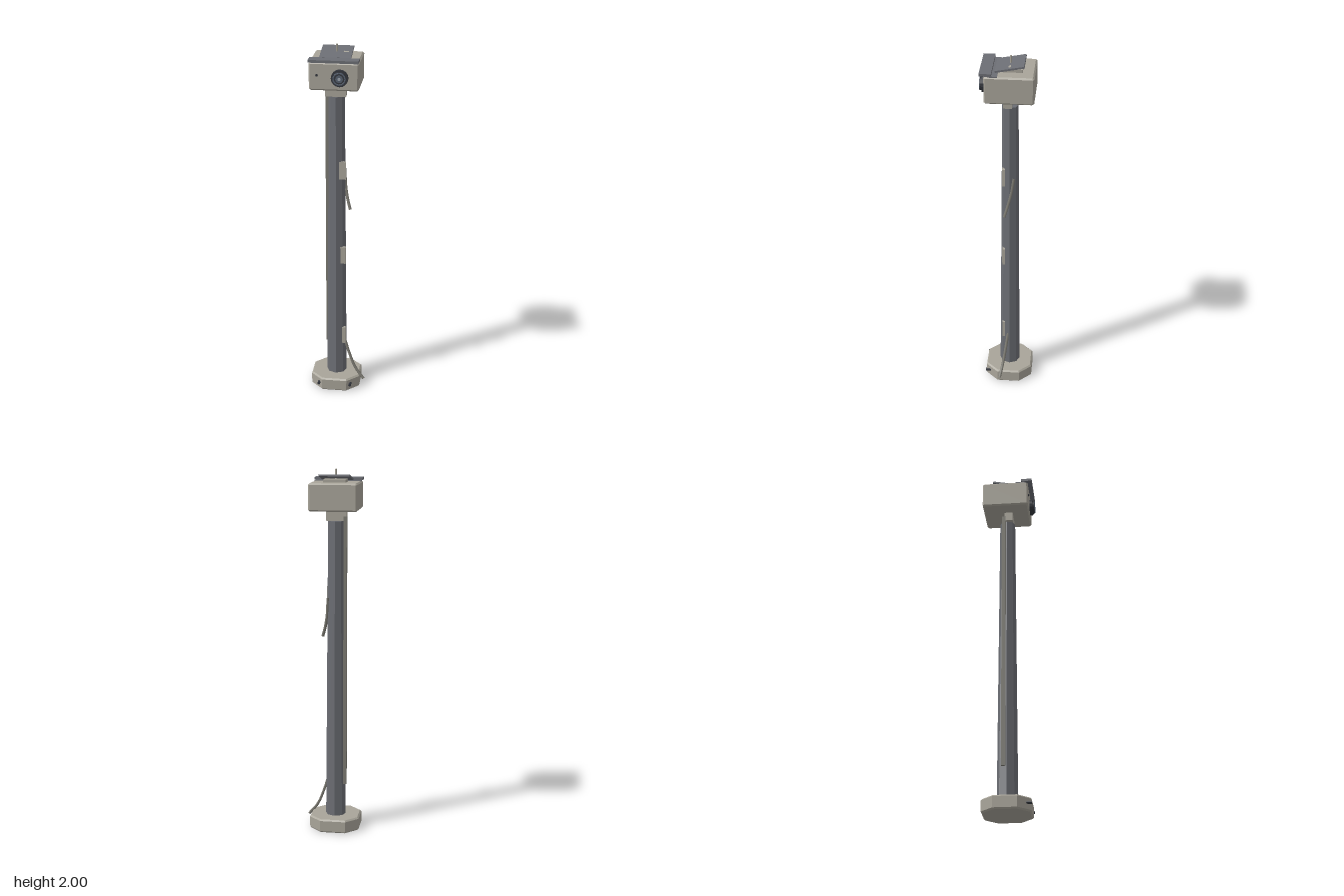
import * as THREE from 'three';

const mat = (name, color) => {
  const m = new THREE.MeshStandardMaterial({ color });
  m.name = name;
  return m;
};

// Faceted copy of a geometry
function flat(g) {
  const out = g.index ? g.toNonIndexed() : g;
  out.computeVertexNormals();
  return out;
}

// Block with cut corners and bevelled rims, standing on y = 0
function cutBlock(hx, hz, h, cut, bevel) {
  const x = hx - bevel, z = hz - bevel;
  const s = new THREE.Shape([
    [x, -z + cut], [x, z - cut], [x - cut, z], [-x + cut, z],
    [-x, z - cut], [-x, -z + cut], [-x + cut, -z], [x - cut, -z],
  ].map(([a, b]) => new THREE.Vector2(a, b)));
  const g = new THREE.ExtrudeGeometry(s, {
    depth: h - 2 * bevel, bevelEnabled: true, bevelSize: bevel, bevelThickness: bevel, bevelSegments: 1,
  });
  return flat(g.rotateX(-Math.PI / 2).translate(0, bevel, 0));
}

export function createModel() {
  const cream = mat('warm grey casing', 0xa8a499);
  const steel = mat('steel grey', 0x6c6e74);
  const cableGrey = mat('cable grey', 0x7c7a72);
  const dark = mat('dark lens housing', 0x33363d);
  const blue = mat('blue grey glass', 0x56606f);
  const pale = mat('pale glint', 0x9aa2ad);

  const model = new THREE.Group();
  const add = (name, geo, material, x = 0, y = 0, z = 0, parent = model) => {
    const m = new THREE.Mesh(geo, material);
    m.name = name;
    m.position.set(x, y, z);
    parent.add(m);
    return m;
  };
  const box = (w, h, d) => new THREE.BoxGeometry(w, h, d);
  const disc = (r, depth, sides = 16) =>
    flat(new THREE.CylinderGeometry(r, r, depth, sides).rotateX(Math.PI / 2));
  const cx = -0.017, cz = -0.013;

  // Base with two bolts on the front
  add('base', cutBlock(0.137, 0.13, 0.075, 0.062, 0.008), cream, cx, 0, cz);
  for (const x of [-0.105, 0.073]) add('baseBolt', disc(0.008, 0.03, 8), dark, x, 0.043, 0.106);

  // Tapered eight-sided pole, neck and side conduit
  add('pole', flat(new THREE.CylinderGeometry(0.043, 0.056, 1.66, 8)), steel, cx, 0.895, cz);
  add('neck', box(0.11, 0.05, 0.046), cream, -0.02, 1.75, -0.002);
  add('conduit', box(0.018, 1.495, 0.022), cableGrey, -0.07, 1.0025, -0.03);

  // Clamps along the pole
  for (const y of [0.315, 0.815, 1.315]) add('clamp', box(0.037, 0.1, 0.015), cream, 0.0185, y, 0.0195);

  // Loose cables
  const cables = [
    [[0.024, 1.31, -0.036], [0.03, 1.22, -0.022], [0.042, 1.15, -0.005], [0.06, 1.087, 0.014]],
    [[0.025, 0.29, -0.006], [0.054, 0.2, 0.006], [0.092, 0.11, 0.02], [0.143, 0.045, 0.035]],
  ];
  for (const pts of cables) {
    const path = new THREE.CatmullRomCurve3(pts.map((p) => new THREE.Vector3(...p)));
    add('looseCable', new THREE.TubeGeometry(path, 12, 0.008, 6), cableGrey);
    const tip = add('cableTip', new THREE.CircleGeometry(0.008, 6), cableGrey, ...pts[3]);
    tip.lookAt(path.getPoint(1).add(path.getTangent(1)));
  }

  // Camera head with visor
  const head = new THREE.Group();
  head.name = 'head';
  model.add(head);
  add('headCase', cutBlock(0.13, 0.129, 0.148, 0.003, 0.008), cream, cx, 1.784, -0.015, head);
  add('visor', box(0.261, 0.014, 0.062), steel, cx, 1.943, 0.106, head);
  add('visorMount', box(0.25, 0.008, 0.05), steel, cx, 1.931, 0.07, head);

  // Lens: housing, glass rings and glint
  const lens = new THREE.Group();
  lens.name = 'lens';
  lens.position.set(0.015, 1.855, 0);
  head.add(lens);
  add('lensHousing', disc(0.045, 0.02), dark, 0, 0, 0.12, lens);
  add('lensBarrel', disc(0.036, 0.026), dark, 0, 0, 0.127, lens);
  add('lensRing', flat(new THREE.TorusGeometry(0.031, 0.005, 6, 16)), blue, 0, 0, 0.138, lens);
  add('lensGlass', disc(0.02, 0.004), blue, 0, 0, 0.14, lens);
  add('lensGlint', disc(0.008, 0.003, 10), pale, 0, 0, 0.142, lens);
  add('indicator', disc(0.007, 0.006, 8), dark, -0.105, 1.865, 0.114, head);

  // Tilted top panel on its mount, with a small bracket and aerial
  add('panelMount', box(0.12, 0.022, 0.1), cream, cx, 1.937, -0.03, head);
  const panel = new THREE.Group();
  panel.name = 'panelAssembly';
  panel.position.set(cx, 1.956, -0.015);
  panel.rotation.x = 0.19;
  head.add(panel);
  add('topPanel', box(0.165, 0.01, 0.152), steel, 0, 0, 0, panel);
  add('panelBracket', box(0.026, 0.012, 0.012), cream, 0.05, 0, 0, panel);
  add('aerial', flat(new THREE.CylinderGeometry(0.005, 0.005, 0.06, 8)), cream, cx, 1.97, -0.015, head);
  return model;
}
